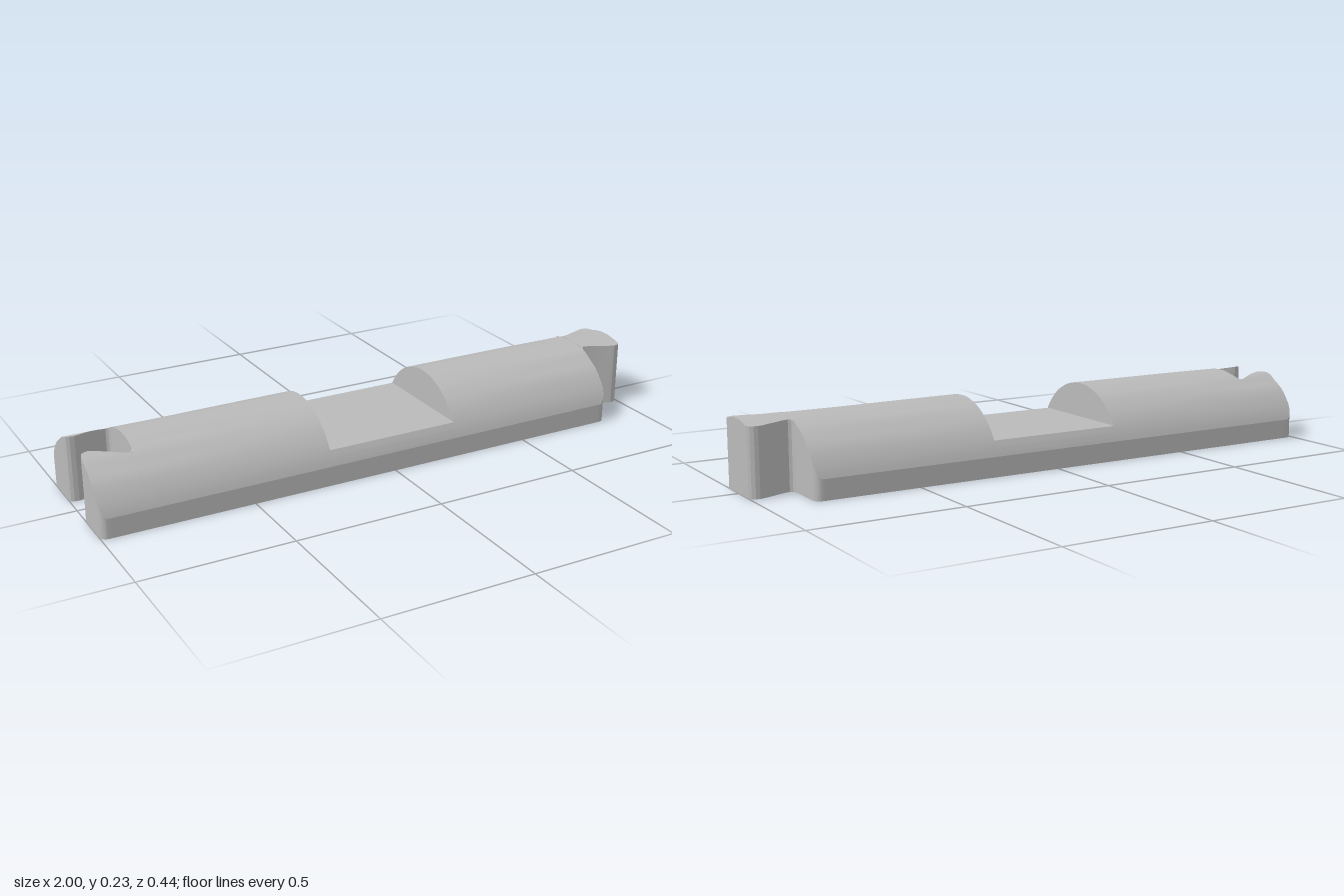
import * as THREE from 'three';
import { toCreasedNormals } from 'three/addons/utils/BufferGeometryUtils.js';

const R = 0.2315, HALF = 0.222;            // log radius, half depth of the trimmed sides
const LEFT = -1, RIGHT = 0.848, NOTCH = 0.23, SOCKET = -0.842, ROUND = 0.025;

// half outline of the dovetail socket and tenon: [x, z]
const socketEdge = [[-1, 0.085], [-0.995, 0.072], [-0.985, 0.066], [-0.97, 0.064], [-0.955, 0.068],
  [-0.87, 0.102], [-0.858, 0.104], [-0.85, 0.1], [-0.845, 0.092], [SOCKET, 0.08]];
const tenonEdge = [[RIGHT, 0.08], [0.853, 0.067], [0.862, 0.062], [0.875, 0.064], [0.958, 0.096],
  [0.97, 0.099], [0.983, 0.097], [0.994, 0.09], [1, 0.08]];

const spread = (a, b, n) => Array.from({ length: n + 1 }, (_, i) => a + (b - a) * i / n);
const roundSteps = spread(0, 1, 8).map(t => ROUND * (1 - Math.cos(t * Math.PI / 2)));

// piecewise linear reading of an outline
function read(edge, x) {
  for (let i = 1; i < edge.length; i++) {
    const [x0, z0] = edge[i - 1], [x1, z1] = edge[i];
    if (x <= x1) return z0 + (z1 - z0) * (x - x0) / (x1 - x0);
  }
  return edge[edge.length - 1][1];
}

// half depth of the body, with rounded upright corners at both ends
function depth(x) {
  const d = Math.max(0, Math.min(x - LEFT, RIGHT - x));
  return d >= ROUND ? HALF : HALF - ROUND + Math.sqrt(ROUND ** 2 - (ROUND - d) ** 2);
}

// round log top with shallow grain ripples running lengthwise
function logTop(x, z) {
  const ripple = Math.sin(z * 85 + 1.2 * Math.sin(x * 3.1)) * Math.sin(x * 4.3 + z * 9 + 0.6);
  const fade = 1 - (z / HALF) ** 4;
  return Math.sqrt(R * R - z * z) - 0.0022 * fade * (1 + ripple) * Math.min(1, Math.abs(x) * 1.3);
}
const notchTop = (x, z) => Math.min(0.115, Math.sqrt(R * R - z * z));
const tenonTop = (x, z) => Math.max(0.219, Math.sqrt(R * R - z * z) - 0.001);

// solid through sections along x; each section spans z = a..b under the given top
function loft(stations, top, n = 40) {
  const rings = stations.map(([x, a, b]) => {
    const ring = [[x, 0, a]];
    for (let i = 0; i <= n; i++) {
      const u = i / n;
      const z = a + (b - a) * (0.6 * (0.5 - 0.5 * Math.cos(u * Math.PI)) + 0.4 * u);
      ring.push([x, top(x, z), z]);
    }
    ring.push([x, 0, b]);
    return ring;
  });
  const pos = [];
  const tri = (...p) => p.forEach(v => pos.push(...v));
  const m = n + 3;
  for (let i = 0; i < rings.length - 1; i++) {
    const p = rings[i], q = rings[i + 1];
    for (let j = 0; j < m; j++) {
      const k = (j + 1) % m;
      tri(p[j], p[k], q[j]);
      tri(p[k], q[k], q[j]);
    }
  }
  // end caps
  [0, rings.length - 1].forEach(e => {
    const ring = rings[e], [x, a, b] = stations[e], mid = [x, 0, (a + b) / 2];
    for (let j = 0; j < m - 1; j++) {
      if (e) tri(mid, ring[j], ring[j + 1]);
      else tri(mid, ring[j + 1], ring[j]);
    }
  });
  const geo = new THREE.BufferGeometry();
  geo.setAttribute('position', new THREE.Float32BufferAttribute(pos, 3));
  return toCreasedNormals(geo, 0.27);
}

export function createModel() {
  const group = new THREE.Group();
  const grey = new THREE.MeshStandardMaterial({ color: 0xbababa });
  grey.name = 'plain grey';
  const add = (name, geo) => {
    const mesh = new THREE.Mesh(geo, grey);
    mesh.name = name;
    group.add(mesh);
  };
  const full = x => [x, -depth(x), depth(x)];

  // log halves on either side of the saddle notch
  add('logRight', loft(spread(SOCKET, -NOTCH, 30).map(full), logTop));
  const endRound = roundSteps.map(d => RIGHT - d).reverse();
  add('logLeft', loft([...spread(NOTCH, RIGHT - ROUND - 0.01, 30), ...endRound].map(full), logTop));

  // flat seat of the notch
  add('notchSeat', loft([-NOTCH, NOTCH].map(full), notchTop, 80));

  // two prongs around the dovetail socket
  const xs = [...socketEdge.map(p => p[0]), ...roundSteps.slice(1).map(d => LEFT + d),
    ...spread(-0.94, -0.885, 4)].sort((a, b) => a - b);
  const prong = xs.map(x => [x, read(socketEdge, x), depth(x)]);
  add('socketProngFront', loft(prong, logTop, 24));
  add('socketProngBack', loft(prong.map(([x, a, b]) => [x, -b, -a]), logTop, 24));

  // flared dovetail tenon
  add('tenon', loft(tenonEdge.map(([x, z]) => [x, -z, z]), tenonTop, 24));
  return group;
}
